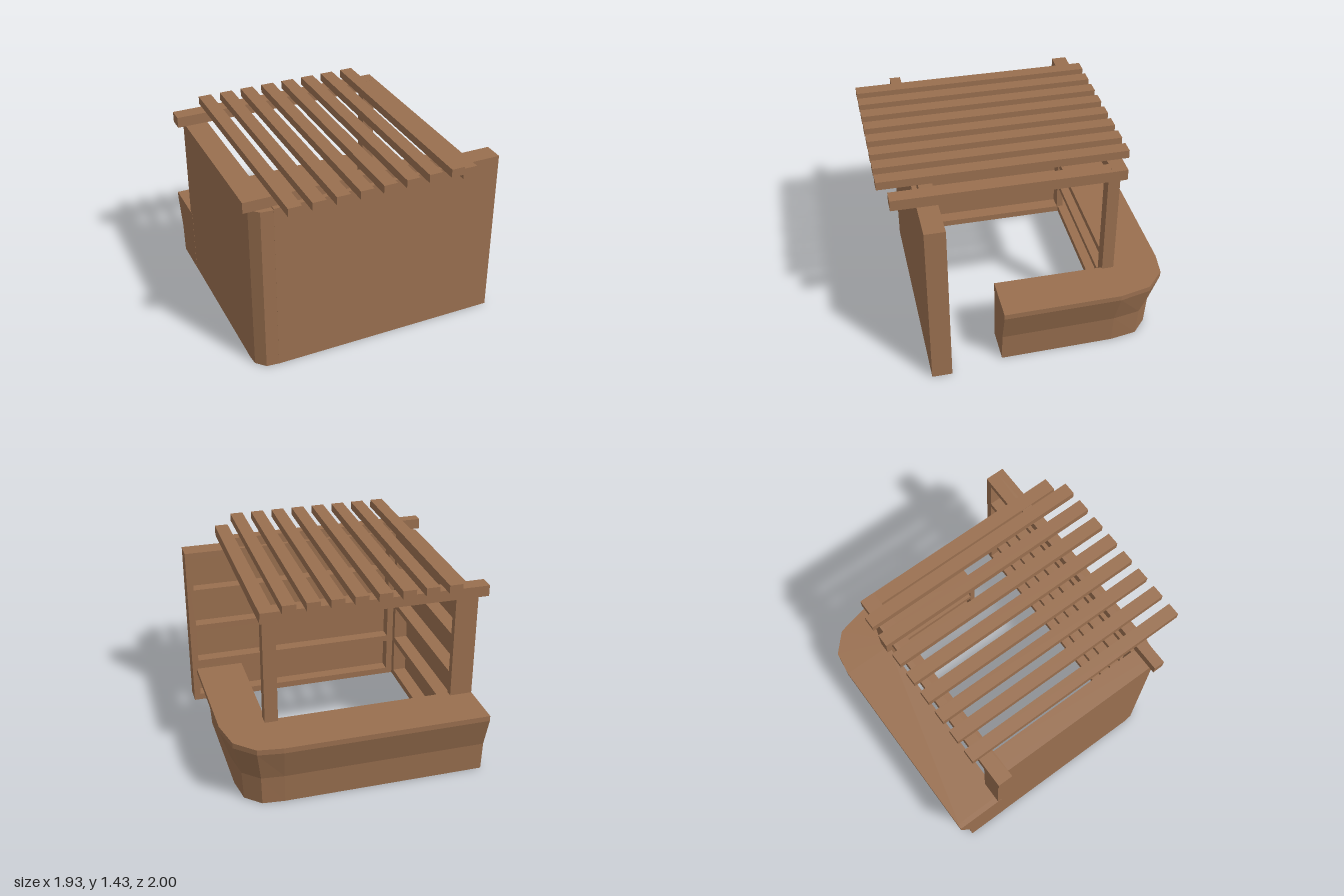
import * as THREE from 'three';

const wood = new THREE.MeshStandardMaterial({ color: 0x996f4f });
wood.name = 'brown wood';

export function createModel() {
  const root = new THREE.Group();
  root.name = 'marketStall';

  const add = (name, geometry) => {
    const mesh = new THREE.Mesh(geometry, wood);
    mesh.name = name;
    root.add(mesh);
    return mesh;
  };
  // Box given by its extents
  const box = (name, x0, x1, y0, y1, z0, z1) =>
    add(name, new THREE.BoxGeometry(x1 - x0, y1 - y0, z1 - z0)
      .translate((x0 + x1) / 2, (y0 + y1) / 2, (z0 + z1) / 2));
  const polygon = (pts) => new THREE.Shape(pts.map(([x, y]) => new THREE.Vector2(x, y)));
  const extrude = (shape, depth) => new THREE.ExtrudeGeometry(shape, { depth, bevelEnabled: false });

  // Shelf frame in the xy plane: four open bays between u0 and u1
  const H = 1.29;
  const bays = [[0.05, 0.31], [0.36, 0.63], [0.675, 0.93], [0.98, 1.24]];
  function shelfFrame(u0, u1, depth) {
    const shape = polygon([[u0, 0], [u1, 0], [u1, H], [u0, H]]);
    for (const [a, b] of bays) {
      shape.holes.push(polygon([[u0 + 0.05, a], [u0 + 0.05, b], [u1 - 0.05, b], [u1 - 0.05, a]]));
    }
    return extrude(shape, depth);
  }

  // Front wall: outer boards with shelves on the inside
  box('frontWallBoards', -0.75, 0.95, 0, H, 0.70, 0.755);
  add('frontWallShelves', shelfFrame(-0.745, 0.95, 0.09).translate(0, 0, 0.61));

  // Side wall: outer boards with shelves on the inside
  box('sideWallBoards', -0.91, -0.85, 0, H, -0.66, 0.61);
  add('sideWallShelves', shelfFrame(-0.61, 0.66, 0.105).rotateY(Math.PI / 2).translate(-0.85, 0, 0));

  // Bevelled corner between the two walls
  const corner = polygon([[-0.745, -0.61], [-0.91, -0.61], [-0.903, -0.68], [-0.84, -0.745], [-0.745, -0.755]]);
  add('wallCorner', extrude(corner, 1.28).rotateX(-Math.PI / 2));

  // Counter stations [x, z]: outer top, outer bottom, shelf back, inner edge
  const stations = [
    [[-0.91, -1], [-0.91, -0.91], [-0.91, -0.80], [-0.91, -0.62]],
    [[0.58, -1], [0.56, -0.91], [0.56, -0.80], [0.58, -0.62]],
    [[0.76, -0.975], [0.72, -0.895], [0.70, -0.78], [0.62, -0.62]],
    [[0.90, -0.845], [0.83, -0.795], [0.76, -0.73], [0.62, -0.62]],
    [[0.952, -0.62], [0.862, -0.60], [0.78, -0.60], [0.62, -0.60]],
    [[0.965, 0.23], [0.875, 0.23], [0.78, 0.23], [0.62, 0.23]],
  ];
  const mix = (a, b, t) => [a[0] + (b[0] - a[0]) * t, a[1] + (b[1] - a[1]) * t];
  // Cross-section: flared outside, counter top, then two open shelves inside
  const rings = stations.map(([top, bottom, back, inner]) => [
    [bottom, 0], [mix(bottom, top, 0.16), 0.22], [top, 0.46], [top, 0.5],
    [inner, 0.5], [inner, 0.45], [back, 0.45], [back, 0.28],
    [inner, 0.28], [inner, 0.24], [back, 0.24], [back, 0.05],
    [inner, 0.05], [inner, 0],
  ].map(([p, y]) => [p[0], y, p[1]]));
  const pos = [];
  for (let i = 0; i < rings.length - 1; i++) {
    for (let j = 0; j < rings[i].length; j++) {
      const k = (j + 1) % rings[i].length;
      const a = rings[i][j], b = rings[i][k], c = rings[i + 1][k], d = rings[i + 1][j];
      pos.push(...a, ...b, ...c, ...a, ...c, ...d);
    }
  }
  const counter = new THREE.BufferGeometry();
  counter.setAttribute('position', new THREE.Float32BufferAttribute(pos, 3));
  counter.computeVertexNormals();
  add('counter', counter);

  // Solid panels closing both ends of the counter
  const endPanel = (inner, bottom, top) => extrude(polygon([
    [inner, 0], [bottom, 0], [bottom + (top - bottom) * 0.16, 0.22], [top, 0.46], [top, 0.5], [inner, 0.5],
  ]), 0.04);
  add('counterSideEnd', endPanel(0.62, 0.875, 0.965).translate(0, 0, 0.191));
  add('counterBackEnd', endPanel(0.62, 0.91, 1).rotateY(Math.PI / 2).translate(-0.911, 0, 0));

  // Roof support
  box('cornerPost', 0.54, 0.635, 0, H, -0.655, -0.57);
  box('backBeam', -0.97, 0.655, H, 1.37, -0.70, -0.59);
  box('frontBeam', -0.95, 0.556, 1.285, 1.365, 0.64, 0.72);
  box('sideBeam', 0.555, 0.656, H, 1.369, -0.69, 0.93);

  // Roof slats
  for (let i = 0; i < 8; i++) {
    const x = -0.75 + i * 0.167;
    box('roofSlat', x, x + 0.097, 1.37, 1.43, -0.75, 1);
  }
  return root;
}
